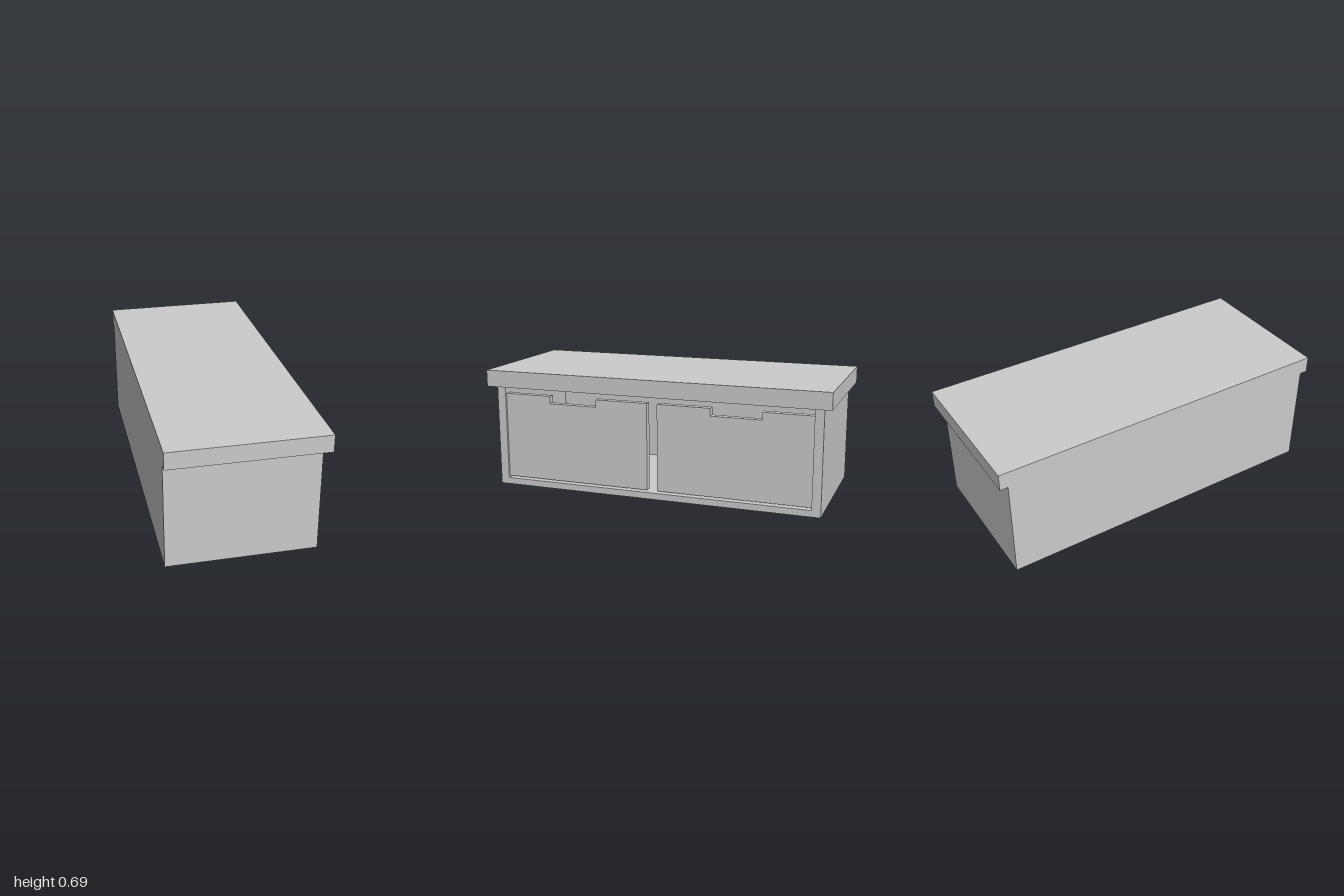
import * as THREE from 'three';

export function createModel() {
  const group = new THREE.Group();
  const material = new THREE.MeshStandardMaterial({ color: 0xcccccc, flatShading: true });

  // Box given by its limits on each axis
  function panel(name, [x0, x1], [y0, y1], [z0, z1]) {
    const mesh = new THREE.Mesh(new THREE.BoxGeometry(x1 - x0, y1 - y0, z1 - z0), material);
    mesh.position.set((x0 + x1) / 2, (y0 + y1) / 2, (z0 + z1) / 2);
    mesh.name = name;
    group.add(mesh);
  }

  const back = -0.424, front = 0.386, height = 0.59;
  const outer = 0.955, inner = 0.905, floorTop = 0.037;

  // Top slab, overhanging the drawer side and both ends
  panel('top', [back, 0.424], [height, 0.685], [-1, 1]);

  // Open carcass
  panel('floor', [back, front], [0, floorTop], [-inner, inner]);
  panel('backPanel', [back, back + 0.04], [floorTop, height], [-inner, inner]);
  panel('leftSide', [back, front], [0, height], [-outer, -inner]);
  panel('rightSide', [back, front], [0, height], [inner, outer]);

  // Drawer fronts with a hand notch, slightly recessed
  const thickness = 0.04, recess = 0.013;
  for (const side of [-1, 1]) {
    const outline = [
      [0.03, 0.047], [inner, 0.047], [inner, 0.545], [0.625, 0.545],
      [0.625, 0.502], [0.337, 0.502], [0.337, 0.545], [0.03, 0.545],
    ].map(([z, y]) => new THREE.Vector2(side * z, y));
    const geometry = new THREE.ExtrudeGeometry(new THREE.Shape(outline), {
      depth: thickness, bevelEnabled: false,
    });
    geometry.rotateY(Math.PI / 2);
    const drawer = new THREE.Mesh(geometry, material);
    drawer.position.x = front - recess - thickness;
    drawer.name = side < 0 ? 'leftDrawerFront' : 'rightDrawerFront';
    group.add(drawer);
  }

  return group;
}
